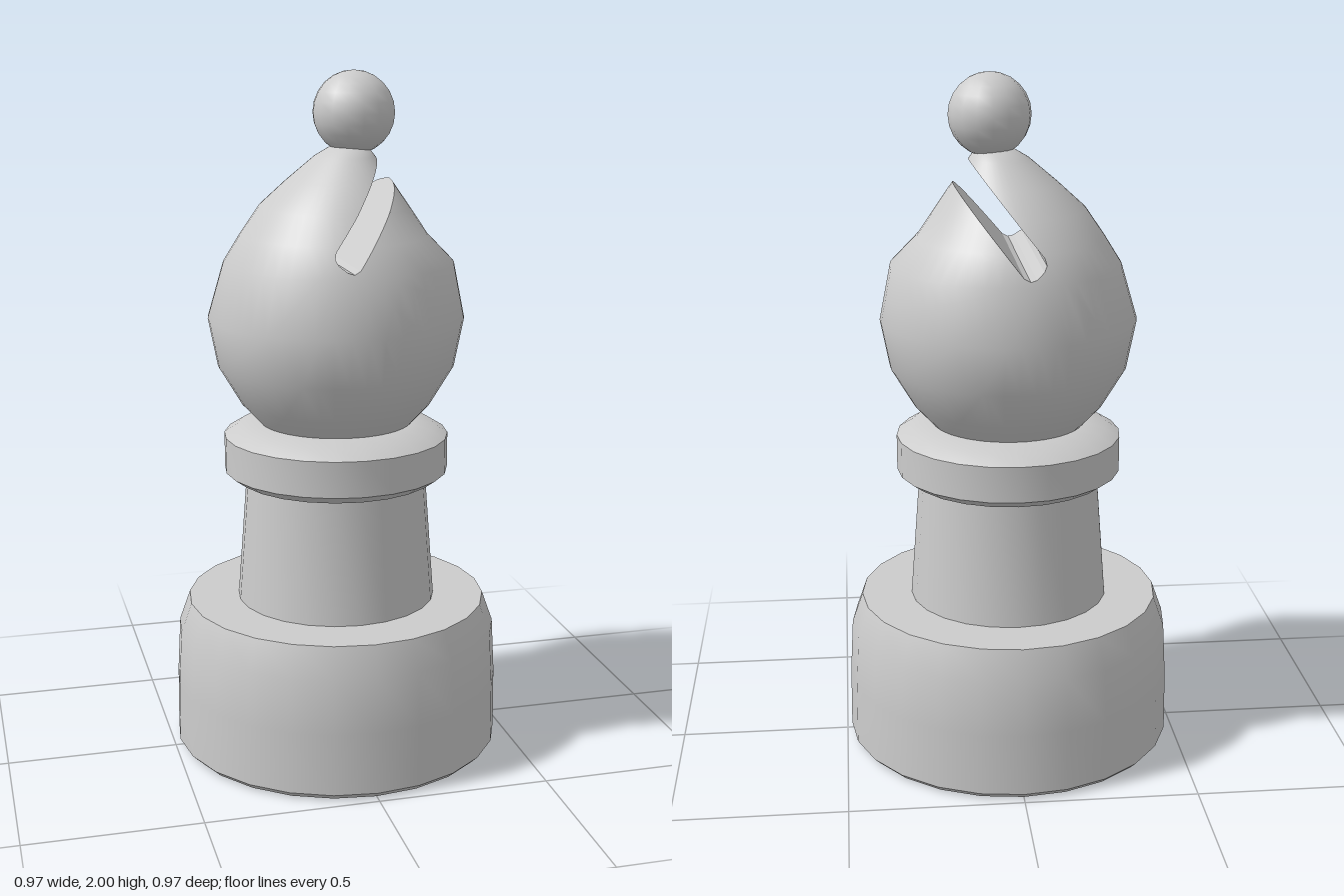
import * as THREE from 'three';
import { toCreasedNormals } from 'three/addons/utils/BufferGeometryUtils.js';

// Head sections: height, left x, right x, half depth (the tip leans towards +x)
const SECTIONS = [
  [0.985, -0.22, 0.22, 0.22], [1.05, -0.28, 0.28, 0.28], [1.16, -0.345, 0.345, 0.345],
  [1.3, -0.372, 0.372, 0.372], [1.46, -0.325, 0.34, 0.335], [1.54, -0.275, 0.262, 0.29],
  [1.62, -0.22, 0.208, 0.24], [1.69, -0.143, 0.16, 0.175], [1.76, -0.06, 0.112, 0.1],
  [1.79, -0.01, 0.09, 0.055], [1.795, 0.04, 0.04, 0],
];

// Slot outline in the xy plane: runs in from the right, round the closed end, and out again
const ALONG = new THREE.Vector2(0.629, 0.778);
const ACROSS = new THREE.Vector2(-0.778, 0.629);
const W = 0.038;
const SLOT = [
  [0.6, W], [0.025, W], [0.007, W - 0.008], [0, W - 0.024],
  [0, -W + 0.024], [0.007, -W + 0.008], [0.025, -W], [0.6, -W],
].map(([u, v]) => new THREE.Vector2(-0.058, 1.486).addScaledVector(ALONG, u).addScaledVector(ACROSS, v));

// Half depth of the head at a point of the xy plane
function halfDepth(x, y) {
  const i = SECTIONS.findIndex((s) => s[0] >= y);
  if (i < 1) return 0;
  const [lo, hi] = [SECTIONS[i - 1], SECTIONS[i]];
  const t = (y - lo[0]) / (hi[0] - lo[0]);
  const [, l, r, b] = lo.map((v, k) => v + (hi[k] - v) * t);
  const q = (2 * x - l - r) / (r - l);
  return b * Math.sqrt(Math.max(0, 1 - q * q));
}

function smoothHead(sides) {
  const pos = [], index = [];
  SECTIONS.forEach(([y, l, r, b], j) => {
    for (let i = 0; i < sides; i++) {
      const t = (i / sides) * Math.PI * 2;
      pos.push((l + r) / 2 + ((r - l) / 2) * Math.sin(t), y, b * Math.cos(t));
      if (j === SECTIONS.length - 1) continue;
      const a = j * sides + i, n = j * sides + ((i + 1) % sides);
      index.push(a, n, a + sides, n, n + sides, a + sides);
    }
  });
  const g = new THREE.BufferGeometry();
  g.setAttribute('position', new THREE.Float32BufferAttribute(pos, 3));
  g.setIndex(index);
  g.computeVertexNormals();
  return g;
}

// Part of a polygon on the positive side of an edge line (sign flips the side)
function clip(poly, p, n, sign) {
  const out = [];
  const side = (c) => sign * ((c.p.x - p.x) * n.x + (c.p.y - p.y) * n.y);
  poly.forEach((a, i) => {
    const b = poly[(i + 1) % poly.length];
    const da = side(a), db = side(b);
    if (da >= 0) out.push(a);
    if (da * db < 0) {
      const t = da / (da - db);
      out.push({ p: a.p.clone().lerp(b.p, t), n: a.n.clone().lerp(b.n, t).normalize() });
    }
  });
  return out;
}

// Remove the slot from the head's skin
function cutHead(source) {
  const { position, normal } = source.attributes;
  const pos = [], nor = [];
  const emit = (poly) => {
    for (let i = 1; i < poly.length - 1; i++) {
      for (const c of [poly[0], poly[i], poly[i + 1]]) {
        pos.push(...c.p.toArray());
        nor.push(...c.n.toArray());
      }
    }
  };
  for (let f = 0; f < source.index.count; f += 3) {
    let rest = [0, 1, 2].map((k) => {
      const v = source.index.getX(f + k);
      return {
        p: new THREE.Vector3().fromBufferAttribute(position, v),
        n: new THREE.Vector3().fromBufferAttribute(normal, v),
      };
    });
    for (let e = 0; e < SLOT.length - 1 && rest.length; e++) {
      const d = SLOT[e + 1].clone().sub(SLOT[e]);
      const n = new THREE.Vector2(-d.y, d.x);
      emit(clip(rest, SLOT[e], n, -1));
      rest = clip(rest, SLOT[e], n, 1);
    }
  }
  const g = new THREE.BufferGeometry();
  g.setAttribute('position', new THREE.Float32BufferAttribute(pos, 3));
  g.setAttribute('normal', new THREE.Float32BufferAttribute(nor, 3));
  return g;
}

// Inner faces of the slot, each strip as deep as the head at that point
function slotWalls() {
  const pos = [];
  for (let e = 0; e < SLOT.length - 1; e++) {
    const steps = SLOT[e].distanceTo(SLOT[e + 1]) > 0.1 ? 120 : 2;
    for (let i = 0; i < steps; i++) {
      const a = SLOT[e].clone().lerp(SLOT[e + 1], i / steps);
      const b = SLOT[e].clone().lerp(SLOT[e + 1], (i + 1) / steps);
      const za = halfDepth(a.x, a.y), zb = halfDepth(b.x, b.y);
      if (za + zb === 0) continue;
      pos.push(a.x, a.y, -za, a.x, a.y, za, b.x, b.y, zb);
      pos.push(a.x, a.y, -za, b.x, b.y, zb, b.x, b.y, -zb);
    }
  }
  const g = new THREE.BufferGeometry();
  g.setAttribute('position', new THREE.Float32BufferAttribute(pos, 3));
  g.computeVertexNormals();
  return g;
}

export function createModel() {
  const model = new THREE.Group();
  model.name = 'chessBishop';
  const grey = new THREE.MeshStandardMaterial({ color: 0xcccccc });
  grey.name = 'lightGrey';

  const add = (name, geometry) => {
    const mesh = new THREE.Mesh(geometry, grey);
    mesh.name = name;
    model.add(mesh);
    return mesh;
  };
  const turned = (name, points) => add(name, toCreasedNormals(
    new THREE.LatheGeometry(points.map(([r, y]) => new THREE.Vector2(r, y)), 24), 0.5));

  // Turned foot, stem and collar
  turned('base', [[0, 0], [0.468, 0], [0.486, 0.018], [0.484, 0.2], [0.475, 0.36], [0.443, 0.45], [0, 0.45]]);
  turned('stem', [[0.295, 0.44], [0.265, 0.83]]);
  turned('collar', [[0, 0.82], [0.295, 0.82], [0.33, 0.845], [0.33, 0.95], [0.29, 0.975], [0.22, 0.99], [0, 0.99]]);

  // Slotted head
  add('head', cutHead(smoothHead(48)));
  add('slotWalls', slotWalls());

  // Bead on the tip
  add('bead', new THREE.SphereGeometry(0.118, 16, 12)).position.set(0.052, 1.882, 0);

  return model;
}
